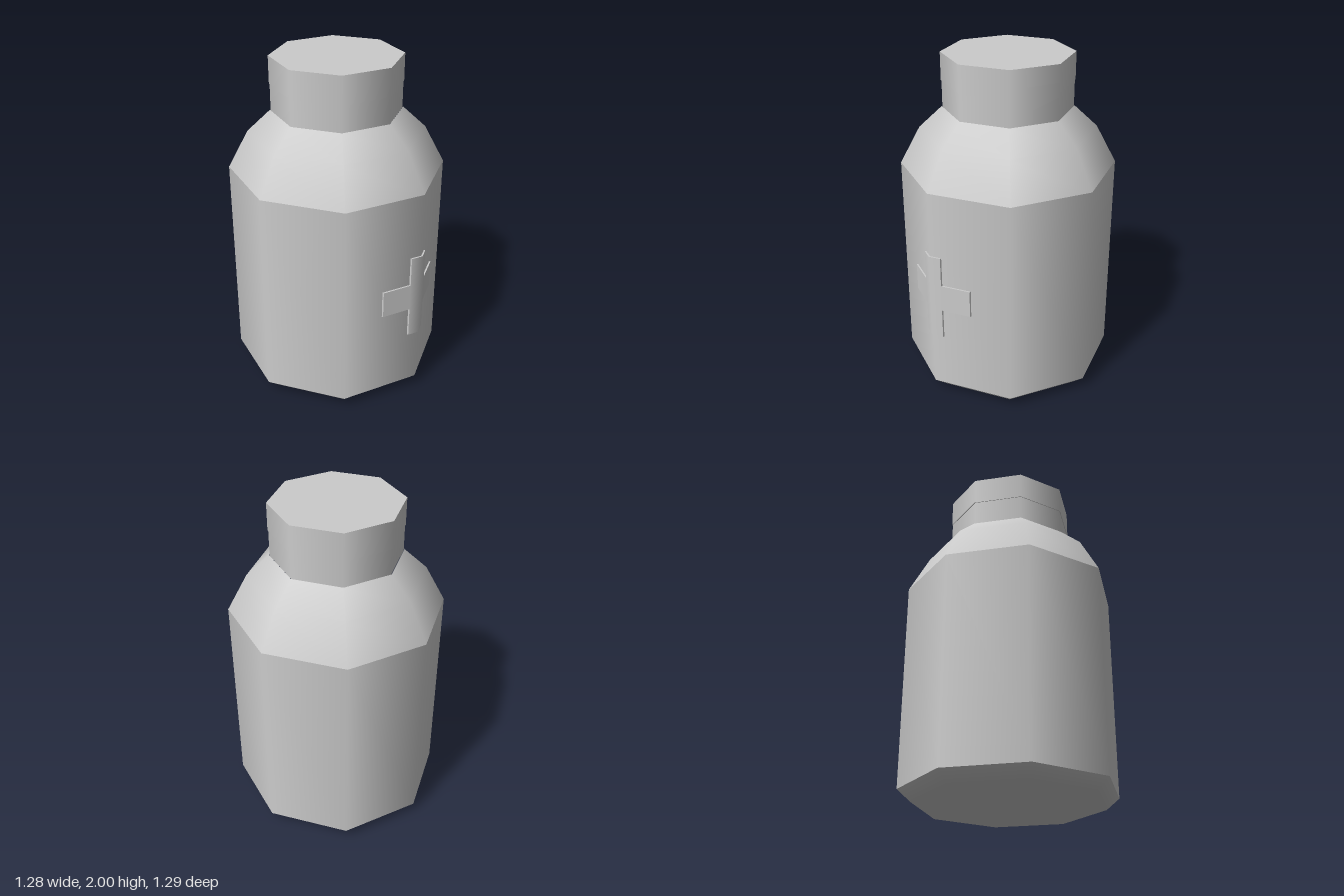
import * as THREE from 'three';

const SIDES = 8;
const SLOPE = Math.tan(Math.PI / SIDES); // how fast the front facets recede from the front corner
const CENTRE_Z = -0.005;

export function createModel() {
  const model = new THREE.Group();
  model.name = 'medicineBottle';
  const material = new THREE.MeshStandardMaterial({ color: 0xcccccc });

  function add(name, geometry, parent = model) {
    const mesh = new THREE.Mesh(geometry, material);
    mesh.name = name;
    mesh.position.z = CENTRE_Z;
    parent.add(mesh);
  }

  // Eight-sided turned part, smooth within one profile; separate profiles give sharp rims
  function turned(name, profile) {
    add(name, new THREE.LatheGeometry(profile.map(([r, y]) => new THREE.Vector2(r, y)), SIDES));
  }

  turned('base', [[0, 0], [0.56, 0], [0.64, 0.07]]);
  turned('body', [[0.64, 0.07], [0.64, 1.33]]);
  turned('shoulder', [[0.64, 1.33], [0.52, 1.555], [0.385, 1.68]]);
  turned('neck', [[0.381, 1.675], [0.381, 1.84]]);

  // Cap, slightly wider than the neck
  const cap = new THREE.CylinderGeometry(0.385, 0.385, 0.165, SIDES);
  cap.translate(0, 1.9175, 0);
  add('cap', cap);

  // Raised cross folded around the front corner, one half per side
  const cross = new THREE.Group();
  cross.name = 'cross';
  model.add(cross);
  const outline = [[0, 0.41], [0.065, 0.41], [0.065, 0.595], [0.23, 0.595],
    [0.23, 0.76], [0.065, 0.76], [0.065, 0.94], [0, 0.94]];
  for (const side of [1, -1]) {
    const shape = new THREE.Shape(outline.map(([x, y]) => new THREE.Vector2(x * side, y)));
    const half = new THREE.ExtrudeGeometry(shape, { depth: 0.03, bevelEnabled: false });
    const p = half.attributes.position;
    for (let i = 0; i < p.count; i++) {
      p.setZ(i, p.getZ(i) + 0.62 - Math.abs(p.getX(i)) * SLOPE);
    }
    half.computeVertexNormals();
    // Soften the fold on the front surface
    const n = half.attributes.normal;
    for (let i = 0; i < p.count; i++) {
      if (Math.abs(p.getX(i)) < 1e-6 && n.getZ(i) > 0.5) n.setXYZ(i, 0, 0, 1);
    }
    add(side > 0 ? 'crossLeft' : 'crossRight', half, cross);
  }

  return model;
}
